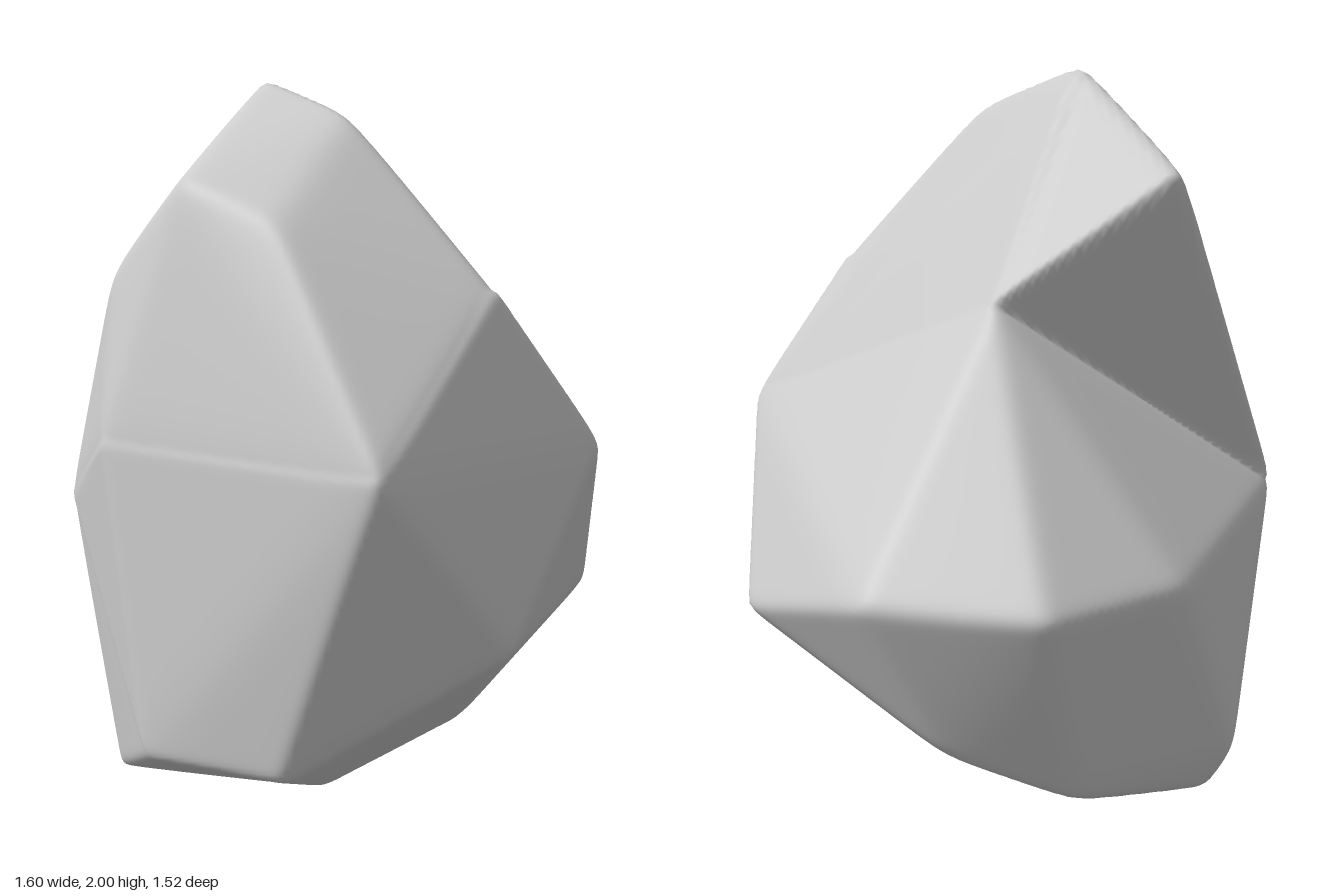
import * as THREE from 'three';
import { ConvexGeometry } from 'three/addons/geometries/ConvexGeometry.js';
import { mergeVertices } from 'three/addons/utils/BufferGeometryUtils.js';

const v = (x, y, z) => new THREE.Vector3(x, y, z);
const CORE = v(-0.15, 0.8, 0.08); // lies inside every lump
const SHARPNESS = 90; // higher means tighter rounded edges

const summit = v(-0.12, 2.02, -0.22);
const hip = v(0.61, 0.53, 0.41);

// Corners belonging to all lumps of the rock
const shared = [
  v(0.26, 1.38, -0.19), v(-0.54, 0.82, -0.63), // ends of the crevice
  v(-0.08, 1.47, 0.6), v(0.22, 1.06, 0.73), v(-0.18, 0.57, 0.77), // front ridge
  v(-0.62, 1.08, 0.72), v(-0.68, 0.28, 0.44), // front corner
  v(-0.78, 1.08, -0.13), v(-0.81, 0.27, 0.06), // side ridge
  v(0.14, 0.19, 0.32), v(-0.3, 0.07, 0.2), // underside
];

// Overhanging peak, with a root buried in the base
const upper = [
  ...shared, summit,
  v(-0.15, 1.92, 0.14), v(0, 1.72, -0.6),
  v(-0.6, 1.75, 0), v(-0.62, 1.5, -0.28), v(-0.54, 1.64, 0.3),
  v(0.3, 0.64, 0.25),
];

// Broad base
const lower = [
  ...shared, hip,
  v(0.81, 0.67, -0.16), v(0.64, 0.66, -0.61), v(0.24, 0.69, -0.76), // wide rim
  v(0.61, 0.25, -0.28), v(0.4, 0.12, -0.55), v(-0.09, 0.14, -0.75), // underside
  v(-0.57, 0.03, -0.38), v(-0.08, 0.02, -0.67), v(-0.22, -0.01, -0.04),
];

// Broad flat flank running from the peak down to the base
const flank = [...shared, summit, hip];

// Distinct face planes of the convex hull of a lump
function facePlanes(points) {
  const pos = new ConvexGeometry(points).attributes.position;
  const planes = [];
  const corner = (i) => new THREE.Vector3().fromBufferAttribute(pos, i);
  for (let i = 0; i < pos.count; i += 3) {
    const plane = new THREE.Plane().setFromCoplanarPoints(corner(i), corner(i + 1), corner(i + 2));
    if (!planes.some((p) => p.normal.dot(plane.normal) > 0.9995)) planes.push(plane);
  }
  return planes.map((p) => ({ normal: p.normal, depth: -p.distanceToPoint(CORE) }));
}

// Distance from the core to the softened hull along a direction
function reach(planes, dir) {
  const ratios = planes.map((p) => Math.max(0, p.normal.dot(dir) / p.depth));
  const largest = Math.max(...ratios);
  const sum = ratios.reduce((total, r) => total + (r / largest) ** SHARPNESS, 0);
  return 1 / (largest * sum ** (1 / SHARPNESS));
}

export function createModel() {
  const group = new THREE.Group();
  group.name = 'boulder';
  const stone = new THREE.MeshStandardMaterial({ color: 0xcccccc });
  stone.name = 'grey stone';

  // Dense sphere pushed out to the joined lumps
  let geometry = new THREE.IcosahedronGeometry(1, 70);
  geometry.deleteAttribute('normal');
  geometry.deleteAttribute('uv');
  geometry = mergeVertices(geometry, 1e-5);
  const lumps = [upper, lower, flank].map(facePlanes);
  const pos = geometry.attributes.position;
  const dir = new THREE.Vector3();
  for (let i = 0; i < pos.count; i++) {
    dir.fromBufferAttribute(pos, i).normalize();
    const r = Math.max(...lumps.map((planes) => reach(planes, dir)));
    dir.multiplyScalar(r).add(CORE);
    pos.setXYZ(i, dir.x, dir.y, dir.z);
  }
  geometry.computeVertexNormals();

  const rock = new THREE.Mesh(geometry, stone);
  rock.name = 'rock';
  group.add(rock);
  return group;
}
